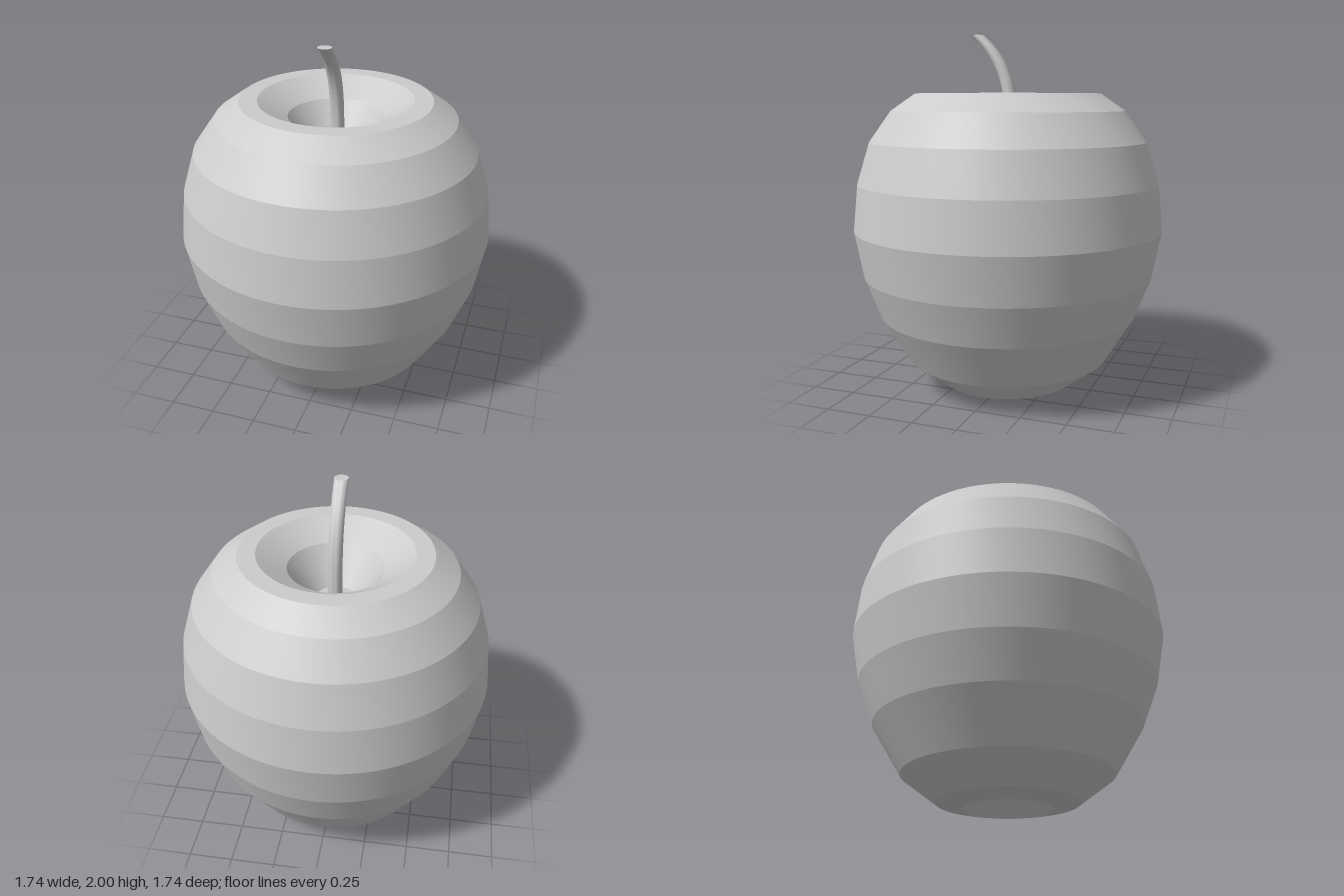
import * as THREE from 'three';
import { toCreasedNormals } from 'three/addons/utils/BufferGeometryUtils.js';

export function createModel() {
  const group = new THREE.Group();
  group.name = 'apple';
  const grey = new THREE.MeshStandardMaterial({ color: 0xcccccc });
  grey.name = 'light grey';

  // Body: banded profile from the bottom hollow, round the outside, into the top dish
  const profile = [
    [0, 0.22], [0.24, 0], [0.38, 0.03], [0.57, 0.17], [0.73, 0.43],
    [0.82, 0.66], [0.87, 0.92], [0.845, 1.18], [0.775, 1.41], [0.655, 1.58],
    [0.52, 1.675], [0.42, 1.675], [0.26, 1.58], [0.12, 1.38], [0, 1.38],
  ].map(([r, y]) => new THREE.Vector2(r, y));
  // Crease between bands, smooth around the axis
  const bodyGeometry = toCreasedNormals(new THREE.LatheGeometry(profile, 72), 0.13);
  const body = new THREE.Mesh(bodyGeometry, grey);
  body.name = 'body';
  group.add(body);

  // Stem: upright cylinder with level cross-sections sheared forward along a curve
  const bottom = 1.36, top = 2, radius = 0.038;
  const stemGeometry = new THREE.CylinderGeometry(radius, radius, top - bottom, 24, 16);
  stemGeometry.translate(0, (top + bottom) / 2, 0);
  const position = stemGeometry.attributes.position;
  for (let i = 0; i < position.count; i++) {
    const t = Math.max(0, (position.getY(i) - bottom) / (top - bottom));
    position.setZ(i, position.getZ(i) - 0.025 + 0.21 * Math.pow(t, 3.7));
  }
  const stem = new THREE.Mesh(toCreasedNormals(stemGeometry, 0.6), grey);
  stem.name = 'stem';
  group.add(stem);

  return group;
}
